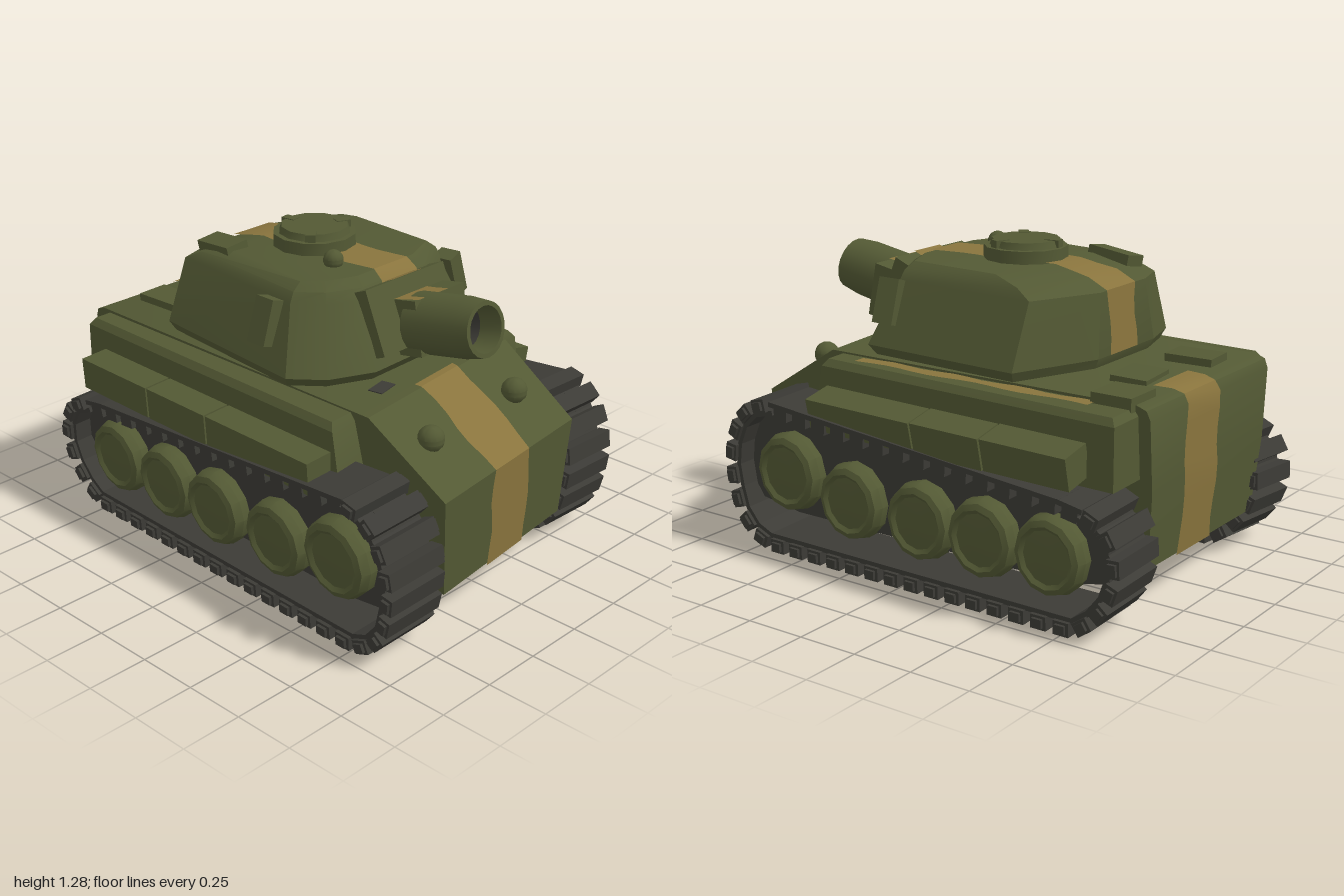
import * as THREE from 'three';
import { mergeGeometries, toCreasedNormals } from 'three/addons/utils/BufferGeometryUtils.js';

const material = (name, color) => {
  const m = new THREE.MeshStandardMaterial({ color });
  m.name = name;
  return m;
};

export function createModel() {
  const olive = material('olive paint', 0x535934);
  const dark = material('dark track metal', 0x3c3b36);
  const tan = material('tan stripe paint', 0x89743d);
  const model = new THREE.Group();
  model.name = 'toyTank';

  const add = (name, geo, mat, parent = model) => {
    const mesh = new THREE.Mesh(toCreasedNormals(geo, 0.55), mat);
    mesh.name = name;
    parent.add(mesh);
    return mesh;
  };
  const box = (name, size, pos, rot = [0, 0, 0], mat = olive, parent = model) => {
    const m = add(name, new THREE.BoxGeometry(...size), mat, parent);
    m.position.set(...pos);
    m.rotation.set(...rot);
    return m;
  };
  const geometry = (pos, idx) => {
    const g = new THREE.BufferGeometry();
    g.setAttribute('position', new THREE.Float32BufferAttribute(pos, 3));
    g.setIndex(idx);
    return g;
  };
  const toVectors = (list) => list.map(([x, y]) => new THREE.Vector2(x, y));

  // Stacked rings of [x, y, z], counterclockwise from above, closed by caps
  const loft = (rings) => {
    const n = rings[0].length, pos = rings.flat(2), idx = [];
    for (let r = 0; r < rings.length - 1; r++) {
      for (let i = 0; i < n; i++) {
        const a = r * n + i, b = r * n + (i + 1) % n;
        idx.push(a, b, b + n, a, b + n, a + n);
      }
    }
    const top = (rings.length - 1) * n;
    for (let i = 1; i < n - 1; i++) idx.push(0, i + 1, i, top, top + i, top + i + 1);
    return geometry(pos, idx);
  };

  // The nose of the hull is set slightly askew
  const skew = (x, z) => (x > 0.5 ? x + 0.11 * z : x);

  // Wavy painted band along a clockwise side profile of [x, y, z of the middle]
  const stripe = (name, path, half, warp = (x) => x) => {
    const pos = [], idx = [];
    let k = 0;
    for (let s = 0; s < path.length - 1; s++) {
      const [x0, y0, z0] = path[s], [x1, y1, z1] = path[s + 1];
      const steps = Math.max(1, Math.round(Math.hypot(x1 - x0, y1 - y0) / 0.07));
      for (let i = s ? 1 : 0; i <= steps; i++, k++) {
        const t = i / steps, x = x0 + (x1 - x0) * t, y = y0 + (y1 - y0) * t, z = z0 + (z1 - z0) * t;
        const za = z - half + 0.009 * Math.sin(k * 1.1), zb = z + half + 0.009 * Math.sin(k * 1.5 + 1);
        pos.push(warp(x, za), y, za, warp(x, zb), y, zb);
        if (k) idx.push(2 * k - 2, 2 * k - 1, 2 * k, 2 * k, 2 * k - 1, 2 * k + 1);
      }
    }
    add(name, geometry(pos, idx), tan);
  };

  // Lower hull: extruded side profile, narrower toward the belly
  const profile = [[-0.93, 0.2], [0.9, 0.2], [0.92, 0.6], [0.56, 0.825], [-0.9, 0.83],
    [-0.94, 0.815], [-0.955, 0.78], [-0.955, 0.5]];
  const hull = new THREE.ExtrudeGeometry(new THREE.Shape(toVectors(profile)), { depth: 2, bevelEnabled: false });
  const hp = hull.attributes.position;
  for (let i = 0; i < hp.count; i++) {
    const y = hp.getY(i), z = (hp.getZ(i) - 1) * (0.4 + 0.055 * (y - 0.2) / 0.62);
    hp.setXYZ(i, skew(hp.getX(i), z), y, z);
  }
  add('hull', hull, olive);

  // Upper hull overhanging the tracks
  const sponson = (y, inset, front) => [[0.55 + front, y, 0.58 - inset], [0.47 + front, y, -0.57 + inset],
    [-0.91 + inset, y, -0.62 + inset], [-0.88 + inset, y, 0.55 - inset]];
  add('upperHull', loft([sponson(0.55, 0, 0.04), sponson(0.79, 0, 0), sponson(0.818, 0.02, -0.02)]), olive);
  box('deckPatch', [0.06, 0.008, 0.1], [0.47, 0.825, 0.23], [0, 0.2, 0], dark);

  // Rear deck boxes
  box('deckBox', [0.17, 0.06, 0.17], [-0.81, 0.83, -0.4]);
  box('deckBox', [0.15, 0.06, 0.2], [-0.71, 0.82, -0.12], [0, 0.1, 0.04]);
  box('deckBox', [0.2, 0.06, 0.14], [-0.76, 0.83, 0.22], [0, 0.05, 0]);

  // Side stowage boxes
  for (const [x0, x1] of [[-0.78, -0.375], [-0.365, -0.025], [-0.015, 0.54]]) {
    const w = x1 - x0, x = (x0 + x1) / 2;
    box('sideBox', [w, 0.13, 0.13], [x, 0.64, 0.62 + 0.02 * x], [0.06, -0.02, 0]);
    box('sideBox', [w * 0.93, 0.13, 0.13], [x * 0.93 - 0.07, 0.64, -0.65 + 0.03 * x], [-0.22, -0.03, 0]);
  }

  // Headlights
  for (const [x, z] of [[0.72, -0.255], [0.765, 0.285]]) {
    const light = add('headlight', new THREE.SphereGeometry(0.052, 14, 9), olive);
    light.position.set(x, 0.735, z);
  }

  // Tracks: links and inner belt around a sloped loop, with five wheels
  const loop = [[-0.955, 0.36], [-0.9, 0.45], [-0.78, 0.5], [0.74, 0.635], [0.86, 0.6], [0.935, 0.49],
    [0.96, 0.33], [0.92, 0.16], [0.82, 0.04], [-0.8, 0.03], [-0.91, 0.13], [-0.96, 0.25]];
  const curve = new THREE.CurvePath();
  loop.forEach((p, i) => curve.add(new THREE.LineCurve(
    new THREE.Vector2(...p), new THREE.Vector2(...loop[(i + 1) % loop.length]))));
  const wheelProfile = toVectors([[0, -0.11], [0.15, -0.11], [0.157, 0.08], [0.145, 0.115], [0.122, 0.125],
    [0.106, 0.113], [0.05, 0.118], [0, 0.119]]);
  const wheels = [[-0.65, 0.28, 1], [-0.335, 0.28, 1], [-0.03, 0.285, 1], [0.325, 0.295, 1], [0.66, 0.355, 1.04]];

  const makeTrack = (name, side) => {
    const track = new THREE.Group();
    track.name = name;
    const count = 44, pts = curve.getSpacedPoints(count), links = [], belt = [];
    for (let i = 0; i < count; i++) {
      const p = pts[i], q = pts[(i + 1) % count];
      const mid = p.clone().add(q).multiplyScalar(0.5), angle = Math.atan2(q.y - p.y, q.x - p.x);
      const place = (list, sx, sy, sz, off) => list.push(new THREE.BoxGeometry(sx, sy, sz)
        .translate(0, off, 0).rotateZ(angle).translate(mid.x, mid.y, 0));
      // Links on the upper run hang inside the belt and are narrower
      const upper = Math.abs(angle) < 0.2 && mid.y > 0.4;
      place(links, 0.07, 0.055, upper ? 0.22 : 0.27, upper ? -0.03 : 0);
      if (!upper) place(links, 0.045, 0.035, 0.295, 0);
      place(belt, 0.112, 0.02, 0.24, upper ? 0 : -0.035);
    }
    add('trackLinks', mergeGeometries(links), dark, track);
    add('trackBelt', mergeGeometries(belt), dark, track);
    // Dark plate behind the wheels
    const plate = [[-0.92, 0.27], [-0.86, 0.2], [-0.7, 0.17], [0.66, 0.17], [0.86, 0.2], [0.93, 0.3],
      [0.9, 0.5], [0.84, 0.58], [0.74, 0.62], [-0.78, 0.48], [-0.9, 0.42]];
    const panel = add('wheelPanel', new THREE.ExtrudeGeometry(
      new THREE.Shape(toVectors(plate)), { depth: 0.03, bevelEnabled: false }), dark, track);
    panel.position.z = -0.015 + 0.03 * side;
    for (const [x, y, s] of wheels) {
      const wheel = add('roadWheel', new THREE.LatheGeometry(wheelProfile, 12).rotateX(Math.PI / 2), olive, track);
      wheel.position.set(x, y, 0);
      wheel.scale.set(s, s, 1);
      if (side < 0) wheel.rotation.y = Math.PI;
    }
    model.add(track);
    return track;
  };
  const nearTrack = makeTrack('nearTrack', 1);
  nearTrack.position.set(0.01, 0.008, 0.535);
  nearTrack.rotation.set(0.06, -0.04, 0);
  const farTrack = makeTrack('farTrack', -1);
  farTrack.position.set(-0.065, 0.008, -0.575);
  farTrack.rotation.set(-0.03, 0, 0);
  farTrack.scale.x = 0.95;

  // Turret
  const neck = add('turretRing', new THREE.CylinderGeometry(0.36, 0.36, 0.06, 20), olive);
  neck.position.set(-0.02, 0.83, 0);
  const outline = [[1, 0.45], [0.97, -0.48], [0.74, -0.93], [-0.68, -1], [-0.98, -0.3],
    [-0.98, 0.5], [-0.88, 0.86], [0.6, 1], [0.84, 0.8]];
  const ring = ([y, x0, x1, h]) => outline.map(([u, v]) => [(x0 + x1) / 2 + u * (x1 - x0) / 2, y, v * h]);
  add('turret', loft([[0.84, -0.54, 0.41, 0.485], [0.88, -0.56, 0.44, 0.51],
    [1.13, -0.545, 0.34, 0.405], [1.17, -0.46, 0.315, 0.385], [1.2, -0.3, 0.27, 0.345]].map(ring)), olive);
  box('turretSideBox', [0.09, 0.18, 0.07], [0.08, 1.05, 0.45], [-0.3, 0, 0]);
  box('turretSideBox', [0.09, 0.18, 0.07], [0.24, 1.05, -0.42], [0.3, 0.1, 0]);
  box('roofBox', [0.2, 0.07, 0.1], [-0.36, 1.18, 0.26], [0.15, -0.1, 0.12]);

  // Commander's hatch
  const hatch = new THREE.Group();
  hatch.name = 'hatch';
  hatch.position.set(-0.11, 1.19, 0);
  model.add(hatch);
  add('hatchBase', new THREE.CylinderGeometry(0.167, 0.17, 0.12, 12), olive, hatch);
  add('hatchLid', new THREE.CylinderGeometry(0.135, 0.145, 0.03, 12), olive, hatch).position.y = 0.072;
  for (const a of [0.9, 3, 5.1]) {
    box('hatchLatch', [0.06, 0.03, 0.04], [0.12 * Math.cos(a), 0.075, 0.12 * Math.sin(a)], [0, -a, 0], olive, hatch);
  }
  add('roofKnob', new THREE.SphereGeometry(0.04, 14, 9), olive).position.set(0.12, 1.22, 0.13);

  // Gun mantlet and short hollow barrel with a dark bore
  box('mantletPlate', [0.16, 0.26, 0.44], [0.34, 1.03, -0.01], [0, 0, 0.4]);
  box('mantlet', [0.14, 0.22, 0.28], [0.445, 1.015, -0.06], [0, 0, 0.19]);
  const gun = new THREE.Group();
  gun.name = 'gun';
  gun.position.set(0.45, 1.015, -0.01);
  gun.rotation.z = -Math.PI / 2 + 0.19;
  model.add(gun);
  const lathe = (list) => new THREE.LatheGeometry(toVectors(list), 20);
  add('barrel', lathe([[0.12, 0], [0.118, 0.24], [0.108, 0.32], [0.09, 0.32], [0.085, 0.22]]), olive, gun);
  add('bore', lathe([[0.085, 0.22], [0.08, 0.1], [0, 0.1]]), dark, gun);

  // Painted stripes
  stripe('hullStripe', [[0.53, 0.83, 0], [0.562, 0.831, 0], [0.925, 0.604, 0], [0.905, 0.195, -0.01],
    [-0.935, 0.195, -0.07], [-0.96, 0.5, -0.075], [-0.96, 0.782, -0.075], [-0.943, 0.82, -0.075],
    [-0.9, 0.835, -0.075], [-0.82, 0.835, -0.075]], 0.122, skew);
  stripe('turretStripe', [[-0.562, 0.885, 0.01], [-0.545, 1.135, 0.01], [-0.462, 1.175, 0.01], [-0.3, 1.205, 0.01],
    [0.272, 1.205, -0.02], [0.32, 1.173, -0.02], [0.345, 1.13, -0.02]], 0.095);
  stripe('mantletStripe', [[0.23, 1.127, -0.02], [0.368, 1.186, -0.02]], 0.09);
  stripe('mantletStripe', [[0.36, 1.112, -0.02], [0.5, 1.14, -0.02]], 0.09);
  stripe('deckStripe', [[-0.74, 0.823, -0.5], [0.33, 0.823, -0.5]], 0.028);

  return model;
}
